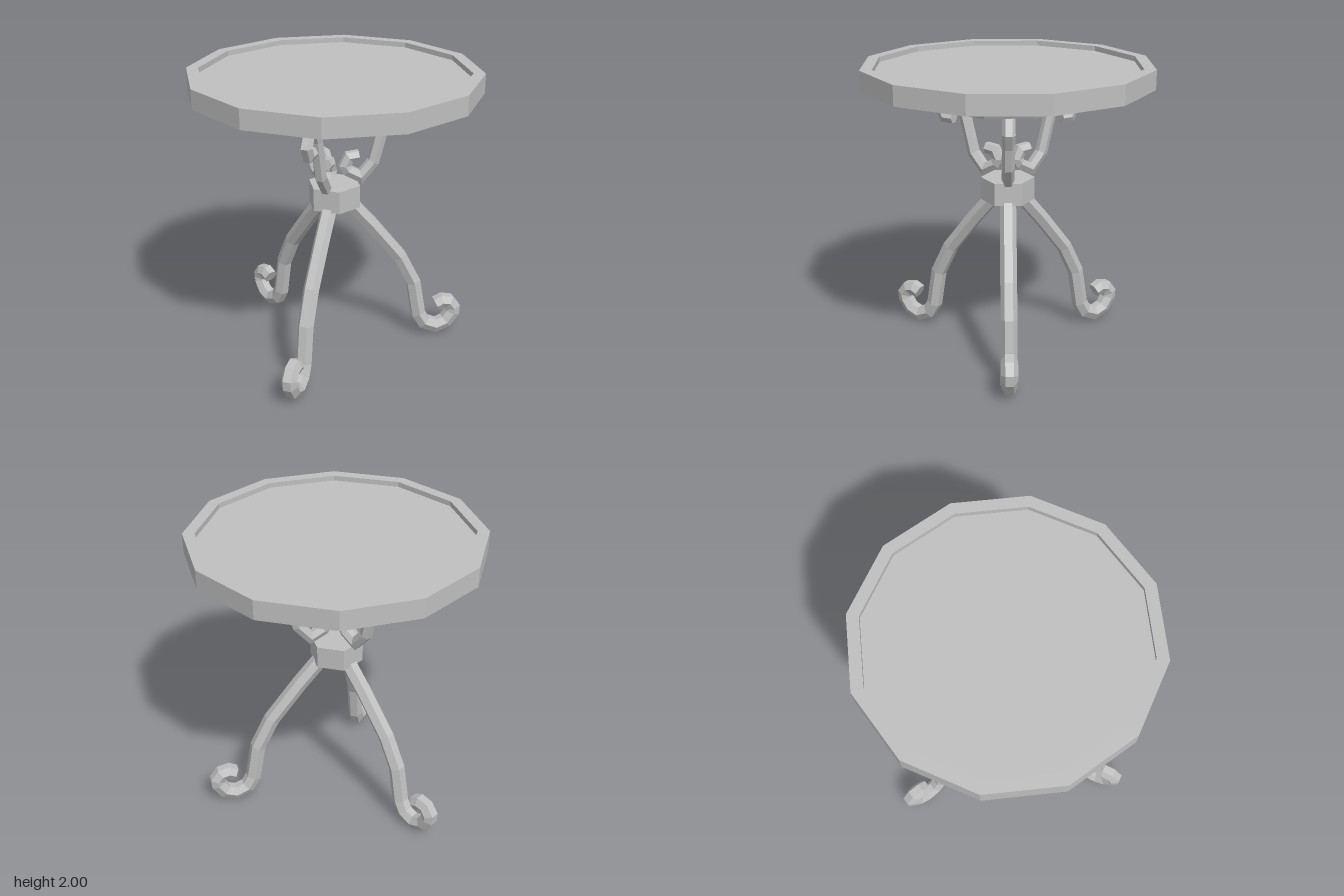
import * as THREE from 'three';

// Sweeps a hexagonal bar with mitred joints along a path in the XY plane
function hexBar(path, radius) {
  const pts = path.map(([x, y]) => new THREE.Vector2(x, y));
  const last = pts.length - 1;
  const pos = [], index = [];
  pts.forEach((p, i) => {
    const a = pts[Math.max(i - 1, 0)], b = pts[Math.min(i + 1, last)];
    const d1 = (i > 0 ? p.clone().sub(a) : b.clone().sub(p)).normalize();
    const d2 = (i < last ? b.clone().sub(p) : d1.clone()).normalize();
    const t = d1.clone().add(d2).normalize();
    const mitre = 1 / t.dot(d1);
    for (let k = 0; k < 6; k++) {
      const ang = Math.PI / 6 + k * Math.PI / 3;
      const n = Math.cos(ang) * radius * mitre;
      pos.push(p.x - t.y * n, p.y + t.x * n, Math.sin(ang) * radius);
    }
  });
  for (let i = 0; i < last; i++) {
    for (let k = 0; k < 6; k++) {
      const a = i * 6 + k, b = i * 6 + (k + 1) % 6;
      index.push(a, b, b + 6, a, b + 6, a + 6);
    }
  }
  // End caps
  for (let k = 1; k < 5; k++) {
    index.push(0, k + 1, k);
    index.push(last * 6, last * 6 + k, last * 6 + k + 1);
  }
  const g = new THREE.BufferGeometry();
  g.setAttribute('position', new THREE.Float32BufferAttribute(pos, 3));
  g.setIndex(index);
  g.computeVertexNormals();
  return g;
}

// Twelve-sided turned part from a bottom-to-top profile
function turned(profile) {
  const pts = profile.map(([r, y]) => new THREE.Vector2(r, y));
  return new THREE.LatheGeometry(pts, 12, Math.PI / 12);
}

export function createModel() {
  const model = new THREE.Group();
  model.name = 'pedestalTable';
  const grey = new THREE.MeshStandardMaterial({ color: 0xbfbfbf, flatShading: true });
  grey.name = 'grey';

  const add = (parent, name, geometry) => {
    const mesh = new THREE.Mesh(geometry, grey);
    mesh.name = name;
    parent.add(mesh);
    return mesh;
  };

  // Tabletop with a raised rim around a shallow recess
  add(model, 'tabletop', turned([
    [0, 1.87], [0.966, 1.87], [0.966, 2], [0.887, 2], [0.887, 1.965], [0, 1.965],
  ]));

  // Tapered apron under the top
  add(model, 'apron', turned([[0, 1.765], [0.58, 1.765], [0.63, 1.87], [0, 1.87]]));

  // Hexagonal hub joining legs and brackets
  const hub = new THREE.CylinderGeometry(0.182, 0.182, 0.155, 6, 1, false, Math.PI / 6);
  add(model, 'hub', hub).position.y = 1.148;

  // Curved legs ending in scrolled feet: radius from the axis, height
  const legGeometry = hexBar([
    [0.10, 1.085], [0.26, 0.90], [0.465, 0.64], [0.57, 0.43], [0.615, 0.17],
    [0.66, 0.092], [0.745, 0.055], [0.822, 0.085], [0.87, 0.155],
    [0.873, 0.195], [0.84, 0.24], [0.79, 0.25], [0.745, 0.228],
  ], 0.055);

  // S-shaped brackets with a scroll at each end
  const bracketGeometry = hexBar([
    [0.165, 1.41], [0.098, 1.402], [0.07, 1.345], [0.09, 1.308], [0.178, 1.26],
    [0.265, 1.362], [0.337, 1.64], [0.385, 1.735], [0.473, 1.735],
    [0.523, 1.65], [0.49, 1.586], [0.42, 1.586],
  ], 0.042);

  // Three evenly spaced supports, one pointing straight back
  ['back', 'frontRight', 'frontLeft'].forEach((side, i) => {
    const support = new THREE.Group();
    support.name = side + 'Support';
    support.rotation.y = Math.PI / 2 + i * Math.PI * 2 / 3;
    add(support, side + 'Leg', legGeometry);
    add(support, side + 'Bracket', bracketGeometry);
    model.add(support);
  });

  return model;
}
